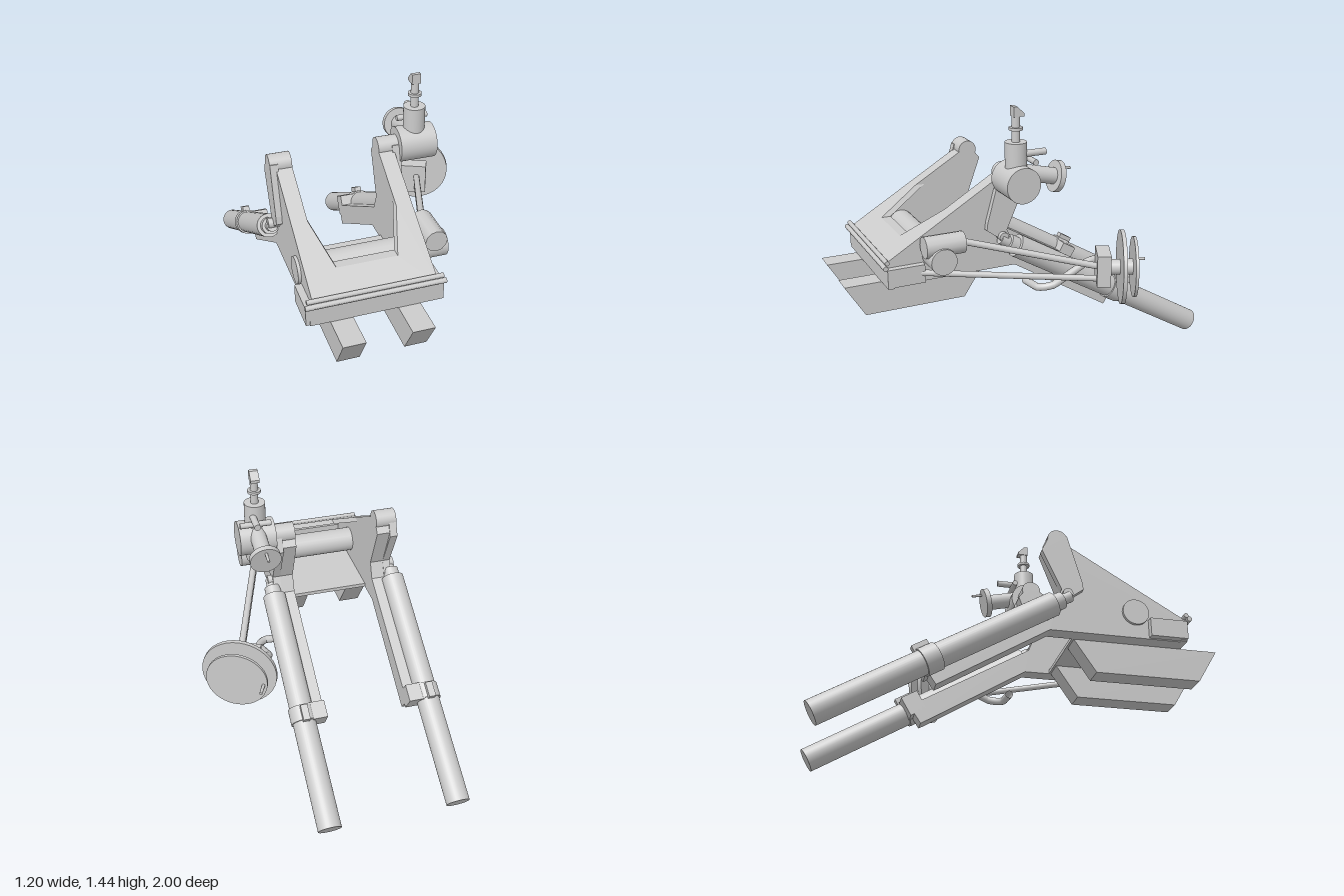
import * as THREE from 'three';

export function createModel() {
  const root = new THREE.Group();
  const mat = new THREE.MeshStandardMaterial({ color: 0xcccccc, side: THREE.DoubleSide });
  const V = (x, y, z) => new THREE.Vector3(x, y, z);
  const MID = -0.2; // mirror plane of the carriage

  function add(name, geo, parent = root) {
    const m = new THREE.Mesh(geo, mat);
    m.name = name;
    parent.add(m);
    return m;
  }
  // Box given by its min and max on each axis
  function box(name, x0, x1, y0, y1, z0, z1, parent) {
    const m = add(name, new THREE.BoxGeometry(x1 - x0, y1 - y0, z1 - z0), parent);
    m.position.set((x0 + x1) / 2, (y0 + y1) / 2, (z0 + z1) / 2);
    return m;
  }
  // Cylinder between two points
  function rod(name, a, b, r, sides = 24, parent = root) {
    const d = b.clone().sub(a);
    const m = add(name, new THREE.CylinderGeometry(r, r, d.length(), sides), parent);
    m.position.copy(a).add(b).multiplyScalar(0.5);
    m.quaternion.setFromUnitVectors(V(0, 1, 0), d.normalize());
    return m;
  }
  // Side profile given as (z, y) points, extruded from x0 to x1
  function plate(name, pts, x0, x1, parent) {
    const shape = new THREE.Shape(pts.map(p => new THREE.Vector2(...p)));
    const geo = new THREE.ExtrudeGeometry(shape, { depth: x1 - x0, bevelEnabled: false });
    geo.rotateY(-Math.PI / 2).translate(x1, 0, 0);
    return add(name, geo, parent);
  }

  // Cheek and trail in one profile
  const cheek = [[0.81, 0.58], [0.81, 0.69], [0.2, 1.055], [0.17, 1.07], [0.13, 1.07], [0.09, 1.02],
    [0.175, 0.79], [0.14, 0.705], [-0.48, 0.34], [-0.42, 0.25], [0.12, 0.58]];
  const rib = [[0.21, 1.09], [0.12, 1.09], [0.08, 1.0], [0.175, 0.79], [0.14, 0.72], [0.19, 0.73],
    [0.285, 0.8], [0.28, 0.84]];
  const skid = [[1.0, 0.58], [0.26, 0.58], [0.37, 0.415], [0.9, 0.415]];

  // Axis of the slanted cylinders
  const end = V(0, 0.055, -0.965);
  const dir = V(0, 0.508, 0.861);
  const along = (x, t) => V(x, end.y + dir.y * t, end.z + dir.z * t);

  for (const s of [-1, 1]) {
    const side = new THREE.Group();
    side.name = s < 0 ? 'rightCarriageSide' : 'leftCarriageSide';
    root.add(side);
    // Distances out from the mirror plane, converted to an ordered x range
    const span = (a, b) => s > 0 ? [MID + a, MID + b] : [MID - b, MID - a];
    plate('cheekAndTrail', cheek, ...span(0.22, 0.3), side);
    plate('cheekRib', rib, ...span(0.29, 0.33), side);
    rod('bearingBoss', V(MID + s * 0.22, 1.07, 0.16), V(MID + s * 0.33, 1.07, 0.16), 0.05, 24, side);
    plate('skid', skid, ...span(0.11, 0.22), side);
    const [b0, b1] = span(0.29, 0.335);
    box('sideBox', b0, b1, 0.585, 0.68, 0.62, 0.81, side);

    // Slanted cylinder with its pivot, collar and clamp
    const x = MID + s * 0.335;
    rod('slantedCylinder', along(x, 0), along(x, 1.27), 0.06, 32, side);
    rod('cylinderNeck', along(x, 1.26), along(x, 1.32), 0.043, 24, side);
    rod('cylinderPivot', along(x, 1.31), along(x, 1.37), 0.028, 16, side);
    rod('pivotPin', V(x + s * 0.02, 0.76, 0.2), V(MID + s * 0.28, 0.76, 0.2), 0.025, 16, side);
    rod('collar', along(x, 0.55), along(x, 0.63), 0.068, 32, side);
    const clamp = new THREE.Group();
    clamp.name = 'clamp';
    clamp.position.copy(along(x, 0.59));
    clamp.rotation.x = -Math.asin(dir.y);
    side.add(clamp);
    box('clampLug', -0.018, 0.018, 0.05, 0.09, -0.05, 0.03, clamp);
    const [c0, c1] = s > 0 ? [-0.115, -0.03] : [0.03, 0.115];
    box('clampTab', c0, c1, -0.05, 0.055, -0.045, 0.045, clamp);
  }

  // Sloping front plate with a wide notch, sheared back as it rises
  const frontShape = new THREE.Shape([[-0.5, 0.69], [0.1, 0.69], [0.1, 1.07], [0.02, 1.07], [0.02, 0.91],
    [-0.05, 0.78], [-0.35, 0.78], [-0.42, 0.91], [-0.42, 1.07], [-0.5, 1.07]].map(p => new THREE.Vector2(...p)));
  const frontGeo = new THREE.ExtrudeGeometry(frontShape, { depth: 0.05, bevelEnabled: false });
  const pos = frontGeo.attributes.position;
  for (let i = 0; i < pos.count; i++) pos.setZ(i, pos.getZ(i) + 0.785 - (pos.getY(i) - 0.69) * 1.68);
  frontGeo.computeVertexNormals();
  add('slopingFrontPlate', frontGeo);

  // Floor, front wall and hinge rods
  box('floor', -0.5, 0.1, 0.58, 0.6, 0.25, 0.81);
  box('frontWall', -0.515, 0.135, 0.58, 0.68, 0.78, 0.812);
  rod('hingeRod', V(-0.54, 0.692, 0.822), V(0.14, 0.692, 0.822), 0.013, 12);
  rod('upperHingeRod', V(-0.53, 0.715, 0.81), V(0.13, 0.715, 0.81), 0.012, 12);

  // Cross shaft and gear housing
  rod('crossShaft', V(-0.515, 0.715, 0.555), V(0.235, 0.715, 0.555), 0.067, 24);
  rod('gearHousing', V(0.165, 0.78, 0.43), V(0.165, 0.78, 0.635), 0.056, 12);

  // Drive rods and bent pipe running to the big handwheel
  rod('upperDriveRod', V(0.165, 0.785, 0.44), V(0.395, 0.62, -0.21), 0.017, 12);
  rod('lowerDriveRod', V(0.12, 0.635, 0.64), V(0.4, 0.555, -0.21), 0.016, 12);
  const pipe = new THREE.CurvePath();
  const p = [V(0.085, 0.472, 0.05), V(0.21, 0.482, 0.045), V(0.25, 0.487, 0.02), V(0.26, 0.5, -0.03),
    V(0.248, 0.57, -0.19), V(0.245, 0.61, -0.26), V(0.34, 0.625, -0.27)];
  pipe.add(new THREE.LineCurve3(p[0], p[1]));
  pipe.add(new THREE.QuadraticBezierCurve3(p[1], p[2], p[3]));
  pipe.add(new THREE.LineCurve3(p[3], p[4]));
  pipe.add(new THREE.QuadraticBezierCurve3(p[4], p[5], p[6]));
  add('bentPipe', new THREE.TubeGeometry(pipe, 40, 0.02, 12));

  // Big handwheel; its group's -z points along the wheel axis
  const wheel = new THREE.Group();
  wheel.name = 'bigHandwheel';
  wheel.position.set(0.425, 0.607, -0.33);
  wheel.rotation.y = -0.436;
  root.add(wheel);
  box('wheelGearbox', -0.085, 0.075, -0.083, 0.083, 0.06, 0.13, wheel);
  rod('wheelHub', V(0, 0, 0.07), V(0, 0, -0.07), 0.04, 20, wheel);
  rod('wheelBackDisc', V(0, 0, 0.01), V(0, 0, -0.01), 0.19, 40, wheel);
  rod('wheelFrontDisc', V(0, 0, -0.055), V(0, 0, -0.07), 0.155, 40, wheel);
  rod('wheelHandle', V(-0.135, -0.01, -0.06), V(-0.135, -0.01, -0.135), 0.008, 10, wheel);

  // Sight drum, tower and periscope
  const sx = 0.218, sz = 0.165;
  rod('sightDrum', V(0.125, 1.07, sz), V(0.313, 1.07, sz), 0.09, 40);
  rod('sightTower', V(sx, 1.12, sz), V(sx, 1.27, sz), 0.054, 32);
  rod('sightStem', V(sx, 1.26, sz), V(sx, 1.41, sz), 0.02, 20);
  rod('sightRing', V(sx, 1.328, sz), V(sx, 1.342, sz), 0.034, 24);
  plate('sightHead', [[0.185, 1.395], [0.185, 1.445], [0.165, 1.445], [0.13, 1.41], [0.13, 1.395]], 0.195, 0.24);
  rod('sightCrossRod', V(0.15, 1.18, 0.1), V(0.31, 1.18, 0.1), 0.015, 12);
  rod('sightEyepiece', V(0.237, 1.21, 0.13), V(0.237, 1.21, 0.015), 0.017, 16);

  // Small tilted handwheel behind the sight
  const knob = new THREE.Group();
  knob.name = 'smallHandwheel';
  knob.position.set(sx, 1.068, -0.055);
  knob.rotation.x = -0.23;
  root.add(knob);
  rod('smallWheelArm', V(0, 0, 0.2), V(0, 0, 0), 0.042, 20, knob);
  rod('smallWheelDisc', V(0, 0, 0.014), V(0, 0, -0.014), 0.08, 32, knob);
  rod('smallWheelHandle', V(0, 0.05, 0), V(0, 0.05, -0.07), 0.007, 10, knob);

  return root;
}
